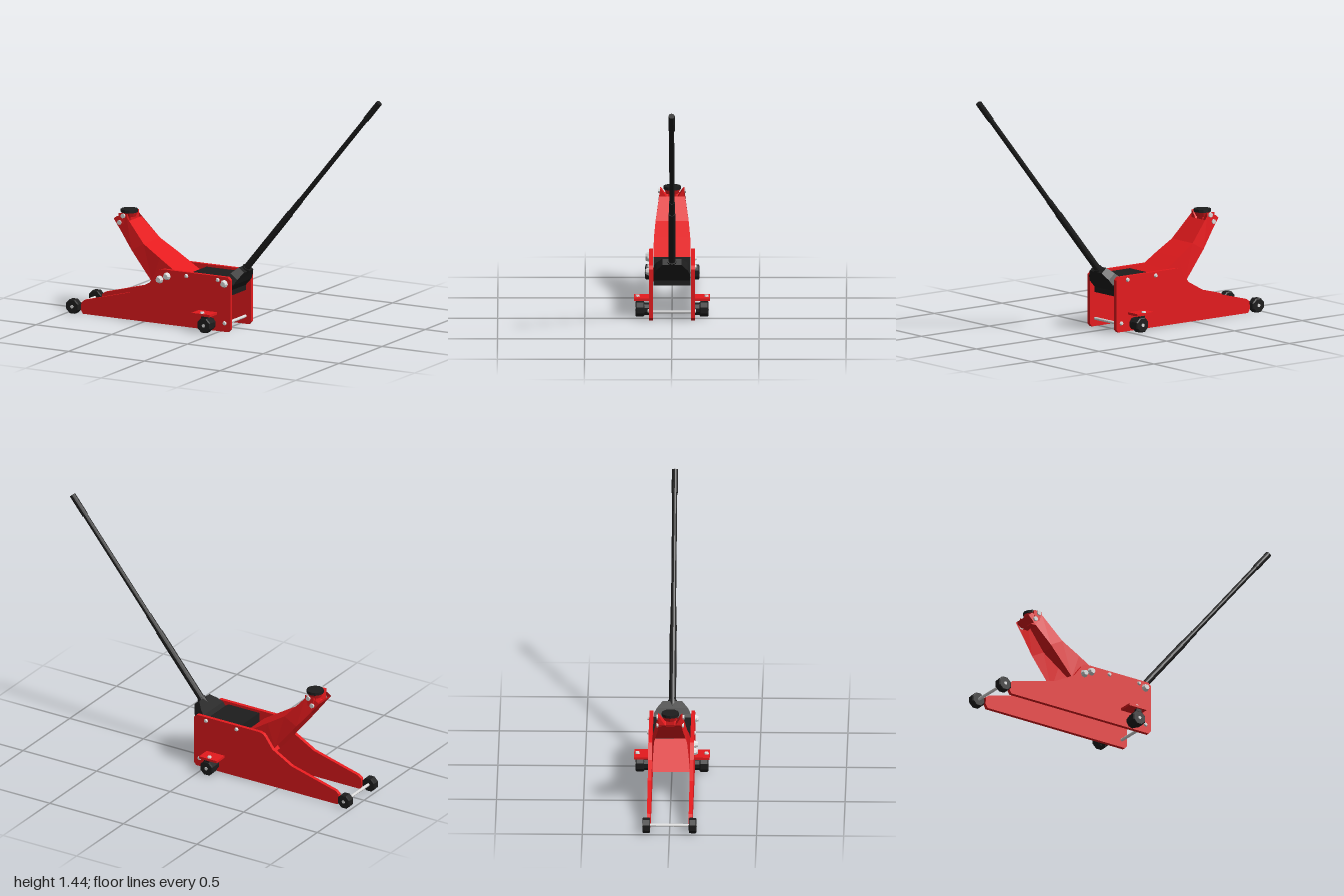
import * as THREE from 'three';

export function createModel() {
  const model = new THREE.Group();
  model.name = 'floorJack';
  const mat = (name, color, side = THREE.FrontSide) => {
    const m = new THREE.MeshStandardMaterial({ color, flatShading: true, side });
    m.name = name;
    return m;
  };
  const red = mat('red paint', 0xe41a1d, THREE.DoubleSide);
  const black = mat('black', 0x1d1d1d);
  const steel = mat('steel', 0xdcdcdc);

  const add = (name, geo, m, x = 0, y = 0, z = 0) => {
    const mesh = new THREE.Mesh(geo, m);
    mesh.name = name;
    mesh.position.set(x, y, z);
    model.add(mesh);
    return mesh;
  };
  const box = (name, m, w, h, d, x, y, z) => add(name, new THREE.BoxGeometry(w, h, d), m, x, y, z);
  // Cylinder lying along z
  const rod = (name, m, r, len, x, y, z, sides = 10) =>
    add(name, new THREE.CylinderGeometry(r, r, len, sides).rotateX(Math.PI / 2), m, x, y, z);
  // Surface joining consecutive cross-sections of equal point count
  const loft = (rows, closed = false) => {
    const pos = rows.flat(2), idx = [], n = rows[0].length;
    for (let i = 0; i < rows.length - 1; i++) {
      for (let j = 0; j < (closed ? n : n - 1); j++) {
        const a = i * n + j, b = i * n + (j + 1) % n;
        idx.push(a, b, b + n, a, b + n, a + n);
      }
    }
    if (closed) {
      const e = (rows.length - 1) * n;
      for (let j = 1; j < n - 1; j++) idx.push(0, j + 1, j, e, e + j, e + j + 1);
    }
    const g = new THREE.BufferGeometry();
    g.setAttribute('position', new THREE.Float32BufferAttribute(pos, 3));
    g.setIndex(idx);
    g.computeVertexNormals();
    return g;
  };

  // Side plates
  const outline = [[-0.9, 0.003], [-0.915, 0.028], [-0.91, 0.07], [-0.89, 0.085], [-0.59, 0.164],
    [-0.46, 0.237], [-0.41, 0.306], [-0.395, 0.319], [-0.37, 0.325], [0.055, 0.325], [0.073, 0.308],
    [0.073, 0.02], [0.058, 0.003]];
  const plate = new THREE.Shape(outline.map(p => new THREE.Vector2(...p)));
  const plateGeo = new THREE.ExtrudeGeometry(plate, { depth: 0.022, bevelEnabled: false });
  for (const s of [1, -1]) add('sidePlate', plateGeo, red, 0, 0, s * 0.12 - 0.011);

  // Wheels: front pair, and rear pair under outrigger brackets
  const wheel = (name, r, w, x, z, s) => {
    const profile = [[0, -w / 2], [r * 0.86, -w / 2], [r, -w * 0.4], [r, w * 0.4], [r * 0.86, w / 2], [0, w / 2]];
    const g = new THREE.LatheGeometry(profile.map(p => new THREE.Vector2(...p)), 8)
      .rotateY(Math.PI / 8).rotateX(Math.PI / 2);
    add(name, g, black, x, 0.043, z);
    rod('wheelHub', steel, 0.01, 0.008, x, 0.043, z + s * w / 2, 8);
  };
  for (const s of [1, -1]) {
    wheel('frontWheel', 0.0445, 0.044, -0.959, s * 0.133, s);
    wheel('rearWheel', 0.046, 0.05, -0.06, s * 0.184, s);
    rod('rearWheelSpindle', black, 0.038, 0.032, -0.06, 0.043, s * 0.147);
    box('wheelBracket', red, 0.12, 0.014, 0.09, -0.075, 0.106, s * 0.172);
    box('wheelStem', black, 0.035, 0.03, 0.02, -0.06, 0.088, s * 0.195);
    add('bracketBolt', new THREE.CylinderGeometry(0.011, 0.014, 0.01, 8), steel, -0.075, 0.117, s * 0.198);
  }
  rod('frontAxle', steel, 0.009, 0.24, -0.959, 0.044, 0);
  rod('rearCrossRod', steel, 0.009, 0.25, 0.035, 0.048, 0);

  // Lift arm stations: top x, top y, bottom x, bottom y, half width
  const stations = [
    [-0.712, 0.588, -0.735, 0.57, 0.065], [-0.645, 0.588, -0.69, 0.515, 0.072],
    [-0.52, 0.45, -0.6, 0.405, 0.095], [-0.41, 0.382, -0.46, 0.235, 0.104],
    [-0.32, 0.325, -0.36, 0.12, 0.107], [-0.255, 0.285, -0.255, 0.28, 0.107]];
  for (const s of [1, -1]) {
    add('armSide', loft(stations.map(([a, b, c, d, w]) => [[a, b, s * w], [c, d, s * w]])), red);
  }
  const sheet = pts => loft(pts.map(([x, y, w]) => [[x, y, w], [x, y, -w]]));
  add('armTop', sheet([[-0.735, 0.57, 0.05], [-0.722, 0.563, 0.065], [-0.69, 0.545, 0.069], [-0.63, 0.568, 0.074],
    ...stations.slice(2).map(([x, y, , , w]) => [x, y, w])]), red);
  // Sloping heel, facing down and back
  add('armHeel', sheet([[-0.255, 0.283, 0.107], [-0.36, 0.12, 0.107]]), red);

  // Saddle and its pivot
  box('saddleBlock', red, 0.04, 0.05, 0.05, -0.668, 0.565, 0);
  add('saddleCup', new THREE.CylinderGeometry(0.048, 0.036, 0.026, 12), red, -0.668, 0.592, 0);
  add('saddlePad', new THREE.CylinderGeometry(0.05, 0.05, 0.017, 12), black, -0.668, 0.613, 0);
  for (const s of [1, -1]) {
    // Ear: wedge sloping inwards
    add('armEar', loft([-0.7, -0.645].map(x =>
      [[x, 0.608, s * 0.07], [x, 0.545, s * 0.073], [x, 0.555, s * 0.03], [x, 0.602, s * 0.06]]), true), red);
    rod('saddleBolt', steel, 0.014, 0.012, -0.668, 0.594, s * 0.074, 8);
    rod('linkBolt', steel, 0.014, 0.012, -0.692, 0.553, s * 0.073, 8);
  }

  // Hydraulic unit cover with ridges at the back
  box('powerUnit', black, 0.21, 0.105, 0.214, -0.115, 0.258, 0);
  box('unitRearStep', black, 0.05, 0.05, 0.214, 0.015, 0.228, 0);
  for (let i = 0; i < 3; i++) rod('coverRidge', black, 0.01, 0.21, -0.008 + i * 0.018, 0.298 - i * 0.012, 0, 8);

  // Handle socket, tapered along the handle
  const d = new THREE.Vector3(0.634, 0.773, 0);
  const start = new THREE.Vector3(0.07, 0.32, 0);
  const section = (t, h, w) => {
    const c = start.clone().addScaledVector(d, t);
    return [[-1, -1], [-1, 1], [1, 1], [1, -1]].map(([a, b]) =>
      [c.x + a * h * d.y, c.y - a * h * d.x, b * w]);
  };
  add('handleSocket', loft([section(-0.13, 0.03, 0.107), section(-0.03, 0.034, 0.106),
    section(0.005, 0.028, 0.09), section(0.05, 0.022, 0.055)], true), black);

  // Handle: collar, sleeve, coupling, tube and grip
  const tilt = new THREE.Quaternion().setFromUnitVectors(new THREE.Vector3(0, 1, 0), d.clone().normalize());
  const bar = (name, t0, t1, r) => {
    const m = add(name, new THREE.CylinderGeometry(r, r, t1 - t0, 12), black);
    m.position.copy(start).addScaledVector(d, (t0 + t1) / 2);
    m.quaternion.copy(tilt);
  };
  bar('handleCollar', 0, 0.06, 0.026);
  bar('handleSleeve', 0.06, 0.51, 0.02);
  bar('handleCoupling', 0.51, 0.62, 0.017);
  bar('handleTube', 0.62, 1.3, 0.0145);
  bar('handleGrip', 1.3, 1.438, 0.018);

  // Plate bolts: x, y, radius, height
  const bolt = (x, y, r, h, s) => {
    const g = new THREE.CylinderGeometry(r * 0.65, r, h, 8).rotateX(s * Math.PI / 2);
    add('plateBolt', g, steel, x, y, s * (0.131 + h / 2));
  };
  for (const s of [1, -1]) {
    bolt(-0.217, 0.303, 0.013, 0.01, s);
    bolt(-0.01, 0.303, 0.013, 0.01, s);
    bolt(0.035, 0.053, 0.013, 0.008, s);
  }
  bolt(-0.393, 0.263, 0.024, 0.022, 1);
  bolt(-0.345, 0.287, 0.024, 0.022, 1);
  bolt(0.033, 0.285, 0.024, 0.02, 1);
  return model;
}
